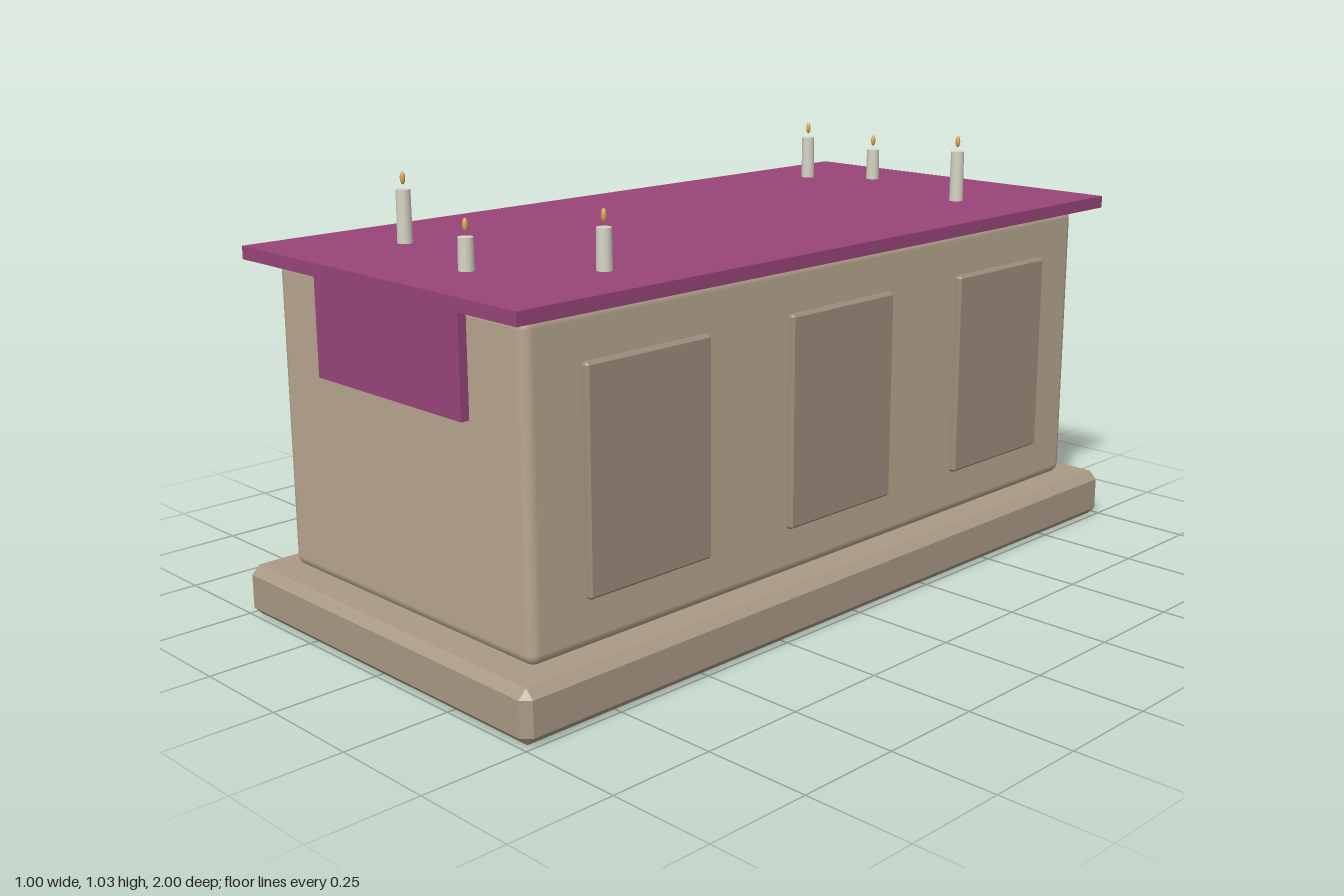
import * as THREE from 'three';
import { ConvexGeometry } from 'three/addons/geometries/ConvexGeometry.js';
import { RoundedBoxGeometry } from 'three/addons/geometries/RoundedBoxGeometry.js';

const mat = (color) => new THREE.MeshStandardMaterial({ color });

// Box with every edge cut by a single flat chamfer c
function chamferBox(w, h, d, c) {
  const half = [w / 2, h / 2, d / 2];
  const points = [];
  for (const sx of [-1, 1]) for (const sy of [-1, 1]) for (const sz of [-1, 1]) {
    for (let axis = 0; axis < 3; axis++) {
      const p = half.map((v, i) => (i === axis ? v : v - c));
      points.push(new THREE.Vector3(p[0] * sx, p[1] * sy, p[2] * sz));
    }
  }
  return new ConvexGeometry(points);
}

export function createModel() {
  const group = new THREE.Group();
  const stone = mat(0xb8a78f);
  const baseStone = mat(0xa99a85);
  const panelStone = mat(0x9c8e7c);
  const cloth = mat(0x984479);
  const wax = mat(0xd6d3c4);
  const fire = mat(0xe0a850);

  function add(name, geometry, material, x, y, z, parent = group) {
    const mesh = new THREE.Mesh(geometry, material);
    mesh.name = name;
    mesh.position.set(x, y, z);
    parent.add(mesh);
    return mesh;
  }

  // Plinth and main block
  add('base', chamferBox(1, 0.12, 2, 0.02), baseStone, 0, 0.06, 0);
  add('body', new RoundedBoxGeometry(0.85, 0.715, 1.84, 2, 0.025), stone, 0, 0.4775, 0);

  // Three raised panels on each long side
  const panelGeometry = chamferBox(0.03, 0.495, 0.35, 0.006);
  for (const side of [-1, 1]) {
    for (const z of [-0.6, 0, 0.6]) {
      add(side > 0 ? 'leftPanel' : 'rightPanel', panelGeometry, panelStone, side * 0.425, 0.4775, z);
    }
  }

  // Cloth over the top, with a flap hanging at the front
  add('clothTop', new THREE.BoxGeometry(0.95, 0.03, 1.95), cloth, 0, 0.85, 0);
  add('clothFlap', new THREE.BoxGeometry(0.5, 0.25, 0.02), cloth, 0, 0.725, 0.93);

  // Candles: x, z, height
  const candles = [
    [-0.3, -0.7, 0.11], [-0.15, -0.8, 0.08], [0.25, -0.65, 0.125],
    [0.3, 0.6, 0.09], [-0.25, 0.7, 0.12], [0.1, 0.8, 0.07],
  ];
  const flameGeometry = new THREE.SphereGeometry(1, 12, 8).scale(0.006, 0.0145, 0.006);
  for (const [x, z, h] of candles) {
    const candle = new THREE.Group();
    candle.name = 'candle';
    candle.position.set(x, 0.865, z);
    group.add(candle);
    add('candleStick', new THREE.CylinderGeometry(0.0165, 0.0175, h, 16), wax, 0, h / 2, 0, candle);
    add('flame', flameGeometry, fire, 0, h + 0.025, 0, candle);
  }
  return group;
}
